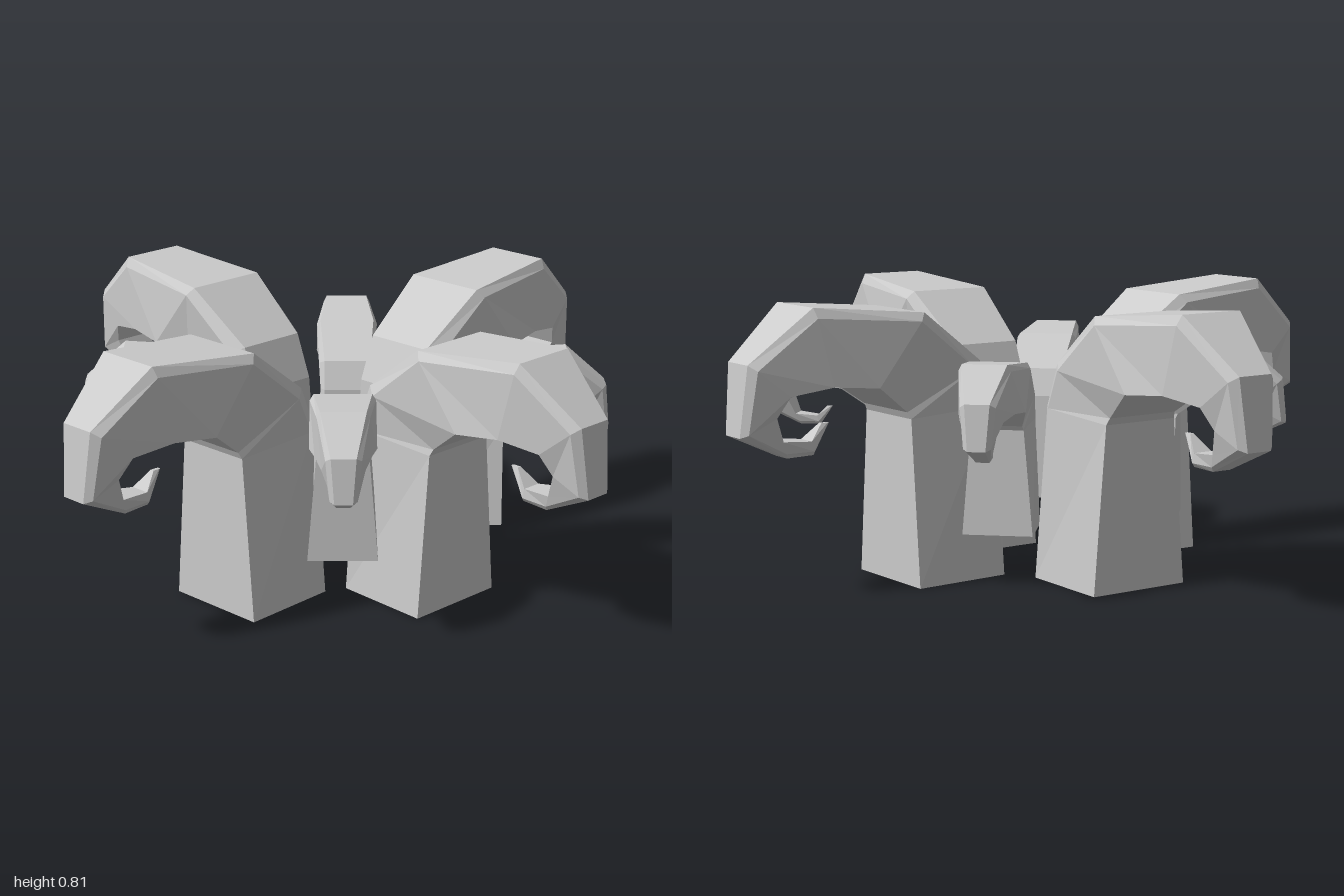
import * as THREE from 'three';

// Stations along one curling arm, from foot to tip:
// back x,y | belly x,y | half widths of back, shoulder, belly | bevel depth
const STATIONS = [
  [0.00, 0.00, 0.30, 0.00, 0.145, 0.145, 0.160, 0],
  [0.01, 0.50, 0.30, 0.48, 0.110, 0.130, 0.120, 0.03],
  [0.06, 0.63, 0.31, 0.50, 0.110, 0.138, 0.115, 0.04],
  [0.26, 0.78, 0.42, 0.58, 0.130, 0.147, 0.150, 0.03],
  [0.60, 0.81, 0.55, 0.59, 0.100, 0.115, 0.125, 0.03],
  [0.78, 0.66, 0.67, 0.57, 0.055, 0.078, 0.095, 0.025],
  [0.80, 0.46, 0.70, 0.51, 0.040, 0.060, 0.070, 0.02],
  [0.65, 0.39, 0.67, 0.44, 0.030, 0.040, 0.050, 0.015],
  [0.56, 0.39, 0.57, 0.43, 0.020, 0.030, 0.030, 0.012],
  [0.50, 0.475, 0.525, 0.475, 0.004, 0.006, 0.006, 0.005],
];

// Six-cornered cross-section with a bevelled back
function section([ox, oy, ix, iy, wBack, wSide, wBelly, bevel]) {
  const o = new THREE.Vector2(ox, oy), i = new THREE.Vector2(ix, iy);
  const s = i.clone().sub(o).setLength(bevel).add(o);
  return [
    [o.x, o.y, wBack], [s.x, s.y, wSide], [i.x, i.y, wBelly],
    [i.x, i.y, -wBelly], [s.x, s.y, -wSide], [o.x, o.y, -wBack],
  ];
}

// Skin the cross-sections and close both ends
function armGeometry() {
  const rings = STATIONS.map(section);
  const n = rings[0].length;
  const positions = [];
  const tri = (a, b, c) => positions.push(...a, ...b, ...c);
  for (let k = 0; k < rings.length - 1; k++) {
    const a = rings[k], b = rings[k + 1];
    for (let j = 0; j < n; j++) {
      const m = (j + 1) % n;
      tri(a[j], a[m], b[m]);
      tri(a[j], b[m], b[j]);
    }
  }
  const foot = rings[0], tip = rings[rings.length - 1];
  for (let j = 1; j < n - 1; j++) {
    tri(foot[0], foot[j + 1], foot[j]);
    tri(tip[0], tip[j], tip[j + 1]);
  }
  const geometry = new THREE.BufferGeometry();
  geometry.setAttribute('position', new THREE.Float32BufferAttribute(positions, 3));
  geometry.computeVertexNormals();
  return geometry;
}

export function createModel() {
  const model = new THREE.Group();
  model.name = 'curlingArmCluster';
  const material = new THREE.MeshStandardMaterial({ color: 0xcccccc, flatShading: true });
  const geometry = armGeometry();

  const addArm = (name, x, y, z, turn, scale) => {
    const arm = new THREE.Mesh(geometry, material);
    arm.name = name;
    arm.position.set(x, y, z);
    arm.rotation.y = turn * Math.PI / 4;
    arm.scale.setScalar(scale);
    model.add(arm);
  };

  // Four large arms in a cross
  addArm('largeArmLeft', 0.2, 0, 0.03, 0, 1);
  addArm('largeArmBack', 0.005, 0, -0.2, 2, 1);
  addArm('largeArmRight', -0.2, 0, 0.03, 4, 1);
  addArm('largeArmFront', 0.005, 0, 0.2, 6, 1);

  // Four small raised arms on the diagonals
  const small = 0.63;
  addArm('smallArmBackLeft', 0.18, 0.15, -0.11, 1, small);
  addArm('smallArmBackRight', -0.15, 0.15, -0.18, 3, small);
  addArm('smallArmFrontRight', -0.125, 0.15, 0.17, 5, small);
  addArm('smallArmFrontLeft', 0.21, 0.15, 0.235, 7, small);

  return model;
}
